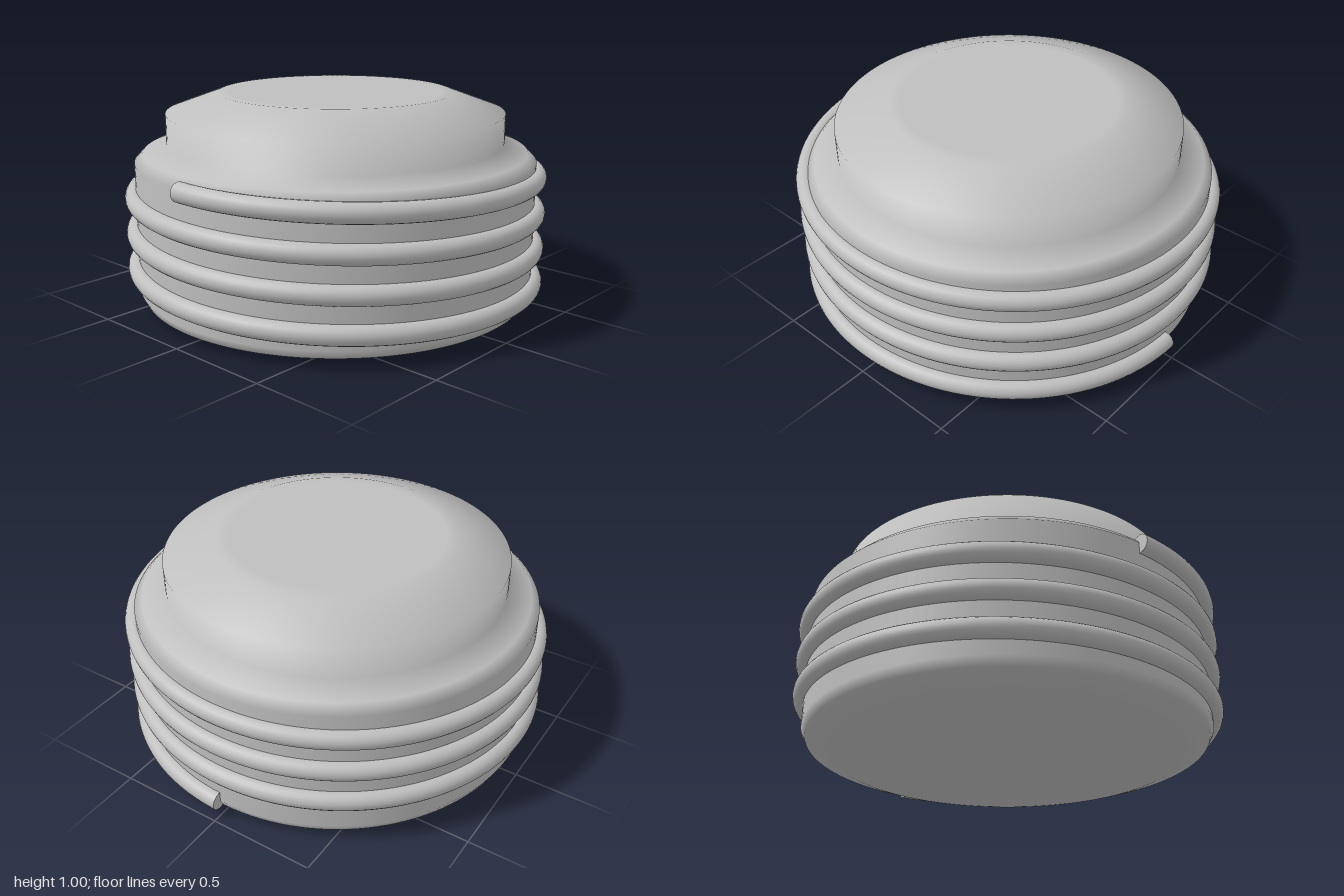
import * as THREE from 'three';

// Helical path: starts low on the +x side, climbs through the front, ends high on -x
class Helix extends THREE.Curve {
  constructor(radius, y0, y1, turns) {
    super();
    Object.assign(this, { radius, y0, y1, turns });
  }
  getPoint(t, target = new THREE.Vector3()) {
    const a = t * this.turns * Math.PI * 2;
    return target.set(
      this.radius * Math.cos(a),
      THREE.MathUtils.lerp(this.y0, this.y1, t),
      this.radius * Math.sin(a)
    );
  }
}

export function createModel() {
  const model = new THREE.Group();
  model.name = 'threadedPlug';
  const grey = new THREE.MeshStandardMaterial({ color: 0xbfbfbf });
  grey.name = 'plainGrey';

  const add = (name, geometry, parent = model) => {
    const mesh = new THREE.Mesh(geometry, grey);
    mesh.name = name;
    parent.add(mesh);
    return mesh;
  };

  // Turned body: bevelled base, straight wall, shoulder, neck and chamfered top
  const profile = [
    [0, 0], [0.8, 0], [0.83, 0.005], [0.93, 0.04], [0.95, 0.08],
    [0.95, 0.69], [0.91, 0.73], [0.8, 0.768],
    [0.8, 0.91], [0.555, 1], [0.5, 1], [0, 1],
  ].map(([r, y]) => new THREE.Vector2(r, y));
  add('body', new THREE.LatheGeometry(profile, 128));

  // Raised round thread wound three and a half turns around the wall
  const thread = new THREE.Group();
  thread.name = 'thread';
  model.add(thread);
  const wire = 0.045;
  const helix = new Helix(0.955, 0.088, 0.68, 3.5);
  add('threadCoil', new THREE.TubeGeometry(helix, 420, wire, 20), thread);

  // Flat caps closing both ends of the thread
  for (const [name, t, sign] of [['threadStartCap', 0, -1], ['threadEndCap', 1, 1]]) {
    const cap = add(name, new THREE.CircleGeometry(wire, 20), thread);
    const outward = helix.getTangentAt(t).multiplyScalar(sign);
    cap.position.copy(helix.getPointAt(t));
    cap.quaternion.setFromUnitVectors(new THREE.Vector3(0, 0, 1), outward);
  }
  return model;
}
